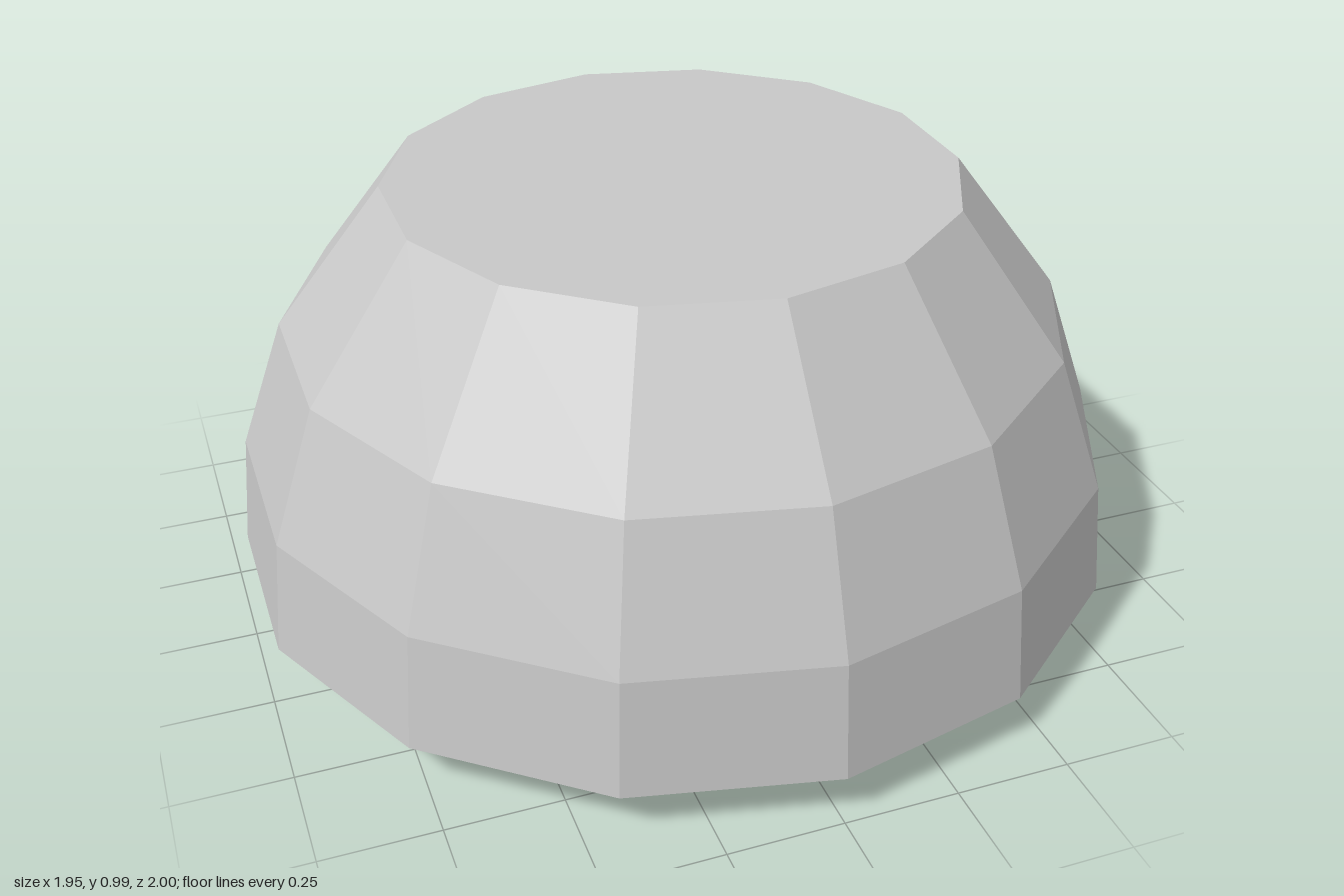
import * as THREE from 'three';

const SIDES = 14;

// Profile of one faceted dome, from the open rim up to the closed flat top
const PROFILE = [[1, 0], [0.975, 0.26], [0.87, 0.555], [0.63, 0.87], [0, 0.87]]
  .map(([r, y]) => new THREE.Vector2(r, y));

function seeded(seed) {
  return () => {
    seed = (seed * 16807) % 2147483647;
    return seed / 2147483647;
  };
}

export function createModel() {
  const group = new THREE.Group();
  const grey = new THREE.MeshStandardMaterial({
    color: 0xc8c8c8, flatShading: true, side: THREE.DoubleSide,
  });
  grey.name = 'light grey';

  function addDome(name, scale, y) {
    const geometry = new THREE.LatheGeometry(PROFILE, SIDES).toNonIndexed();
    geometry.computeVertexNormals();
    const mesh = new THREE.Mesh(geometry, grey);
    mesh.name = name;
    mesh.scale.setScalar(scale);
    mesh.position.y = y;
    group.add(mesh);
  }

  // Two nested open shells; the smaller one shows below the outer rim
  addDome('outerDome', 1, 0.115);
  addDome('innerDome', 0.76, 0);

  // Small loose shards clustered under the inner ceiling, thinning downwards
  const shards = new THREE.Group();
  shards.name = 'shards';
  const random = seeded(41);
  const shardGeometry = new THREE.BoxGeometry(0.09, 0.02, 0.06);
  for (let i = 0; i < 16; i++) {
    const t = i / 15;
    const angle = i * 2.4;
    const radius = 0.26 * (1 - t) * (0.4 + 0.6 * random());
    const shard = new THREE.Mesh(shardGeometry, grey);
    shard.name = 'shard';
    shard.position.set(radius * Math.sin(angle), 0.52 - 0.36 * t, radius * Math.cos(angle));
    shard.rotation.set(random() - 0.5, random() * 6, random() - 0.5);
    shards.add(shard);
  }
  group.add(shards);

  return group;
}
